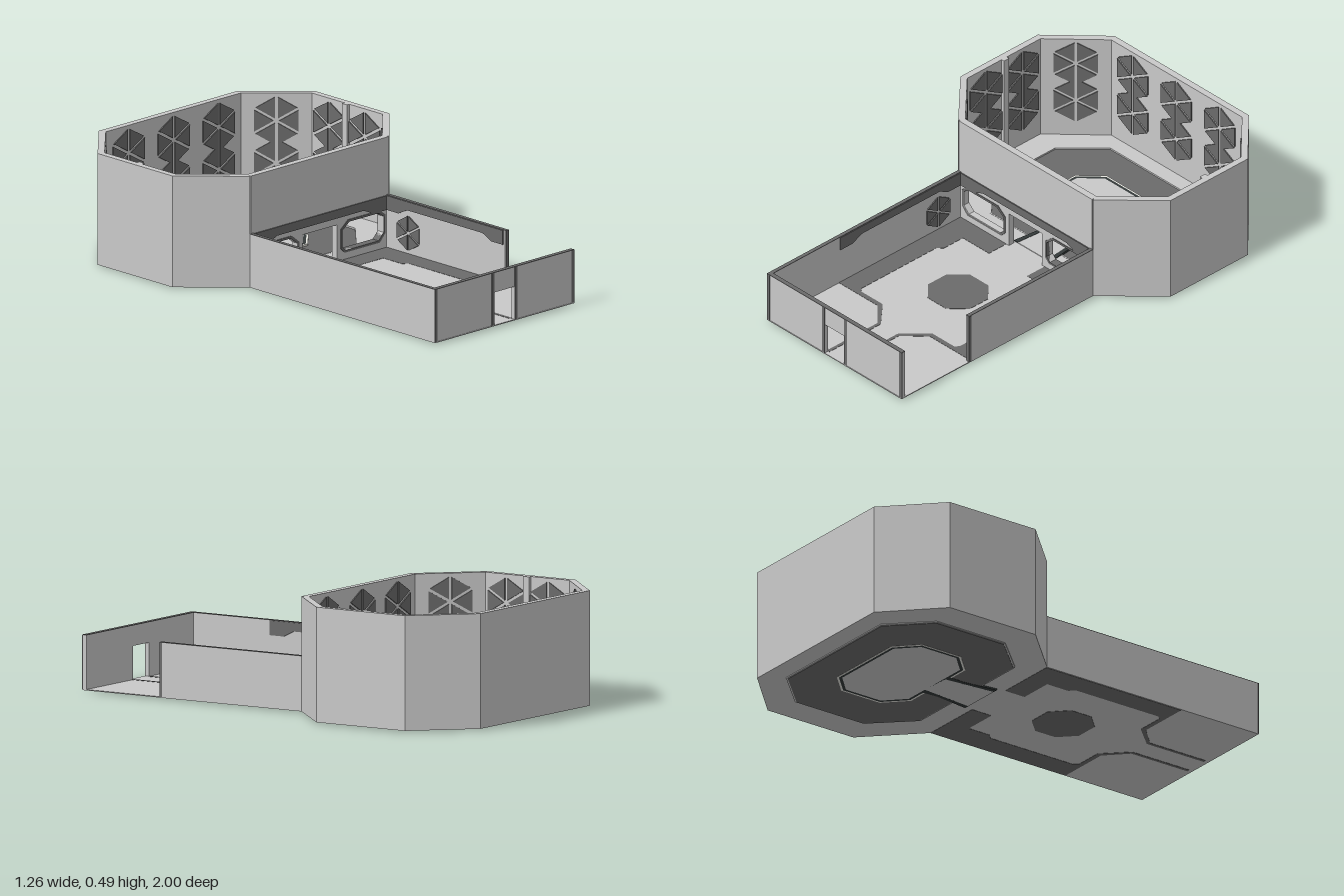
import * as THREE from 'three';

const mat = (name, color, side = THREE.FrontSide) => {
  const m = new THREE.MeshStandardMaterial({ color, side });
  m.name = name;
  return m;
};

export function createModel() {
  const root = new THREE.Group();
  const light = mat('lightGrey', 0xc9c9c9);
  const dark = mat('darkGrey', 0x6b6b6b);
  const black = mat('charcoal', 0x343a3a);
  const cream = mat('paleTrim', 0xe6e6e0);

  const add = (name, geo, m, parent = root) => {
    const mesh = new THREE.Mesh(geo, m);
    mesh.name = name;
    parent.add(mesh);
    return mesh;
  };
  const toShape = (pts) => new THREE.Shape(pts.map(([x, y]) => new THREE.Vector2(x, y)));
  const extrude = (shape, depth) => new THREE.ExtrudeGeometry(shape, { depth, bevelEnabled: false });

  // Horizontal slab from [x, z] points between two heights
  const slab = (name, pts, y0, y1, m, holes = []) => {
    const s = toShape(pts);
    holes.forEach((h) => s.holes.push(toShape(h)));
    return add(name, extrude(s, y1 - y0).rotateX(Math.PI / 2).translate(0, y1, 0), m);
  };
  const box = (name, x0, x1, y0, y1, z0, z1, m) =>
    add(name, new THREE.BoxGeometry(x1 - x0, y1 - y0, z1 - z0)
      .translate((x0 + x1) / 2, (y0 + y1) / 2, (z0 + z1) / 2), m);
  const rect = (x0, x1, z0, z1) => [[x0, z0], [x1, z0], [x1, z1], [x0, z1]];
  const mirror = (pts) => pts.map(([x, y]) => [-x, y]);
  // Stretched octagon: half width, corner x, z range, side z range
  const oct = (w, c, z0, z1, za, zb) =>
    [[c, z0], [w, za], [w, zb], [c, z1], [-c, z1], [-w, zb], [-w, za], [-c, z0]];
  // Upright wall outline with a doorway cut in the bottom edge
  const doorWall = (w, h, dw, dh) =>
    toShape([[-w, 0.01], [-dw, 0.01], [-dw, dh], [dw, dh], [dw, 0.01], [w, 0.01], [w, h], [-w, h]]);

  // ---- Arena hall ----
  const outer = oct(0.632, 0.405, -1, -0.1, -0.775, -0.33);
  const inner = oct(0.603, 0.393, -0.97, -0.13, -0.763, -0.342);
  const order = [4, 5, 6, 7, 0, 1, 2, 3];
  slab('arenaWall', [...order.map((i) => outer[i]), ...[...order].reverse().map((i) => inner[i])],
    0.01, 0.49, light);

  // Wall shared by hall and courtyard, with a doorway and two windows
  const shared = doorWall(0.4, 0.49, 0.1, 0.17);
  const windowPts = [[0.15, 0.05], [0.34, 0.05], [0.37, 0.08], [0.37, 0.15], [0.34, 0.17], [0.17, 0.17], [0.13, 0.14], [0.13, 0.07]];
  const framePts = windowPts.map(([x, y]) => [0.25 + (x - 0.25) * 1.08, 0.11 + (y - 0.11) * 1.16]);
  [(p) => p, mirror].forEach((f) => {
    shared.holes.push(toShape(f(windowPts)));
    const frame = toShape(f(framePts));
    frame.holes.push(toShape(f(windowPts)));
    add('windowFrame', extrude(frame, 0.036).translate(0, 0, -0.133), dark);
  });
  add('sharedWall', extrude(shared, 0.03).translate(0, 0, -0.13), light);

  // Six separated triangles forming a hexagonal wall panel
  const hexPanel = (r) => {
    const shapes = [];
    for (let i = 0; i < 6; i++) {
      const a = Math.PI / 2 + (i * Math.PI) / 3, mid = a + Math.PI / 6, g = r * 0.11;
      const ox = Math.cos(mid) * g, oy = Math.sin(mid) * g, k = r * 0.89;
      shapes.push(toShape([[ox, oy],
        [ox + Math.cos(a) * k, oy + Math.sin(a) * k],
        [ox + Math.cos(a + Math.PI / 3) * k, oy + Math.sin(a + Math.PI / 3) * k]]));
    }
    return extrude(shapes, 0.005);
  };
  const panel = hexPanel(0.105);
  inner.forEach((a, i) => {
    const b = inner[(i + 1) % 8];
    const dx = b[0] - a[0], dz = b[1] - a[1], len = Math.hypot(dx, dz);
    const side = new THREE.Group();
    side.name = 'wallPanels';
    side.position.set((a[0] + b[0]) / 2, 0, (a[1] + b[1]) / 2);
    side.rotation.y = Math.atan2(-dz, dx);
    const n = Math.max(1, Math.floor(len / 0.21));
    const step = len / n;
    for (let c = 0; c < n; c++) {
      (i === 3 ? [0.37] : [0.185, 0.37]).forEach((y) =>
        add('trianglePanel', panel, dark, side).position.set((c - (n - 1) / 2) * step, y, 0));
    }
    root.add(side);
  });
  [-1, 1].forEach((s) =>
    box('sidePilaster', s * 0.597 - 0.008, s * 0.597 + 0.008, 0.01, 0.49, -0.57, -0.54, light));

  // Hall floor, sunken basin and its rim
  const basin = oct(0.485, 0.325, -0.9, -0.215, -0.735, -0.385);
  const rim = oct(0.492, 0.328, -0.907, -0.208, -0.738, -0.382);
  slab('arenaFloor', outer, 0.006, 0.01, light, [basin]);
  slab('basinRim', rim, 0.002, 0.011, light, [basin]);
  slab('basin', basin, 0, 0.004, dark);

  // Central platform with pale and charcoal outlines
  const p1 = oct(0.282, 0.188, -0.748, -0.362, -0.655, -0.455);
  const p2 = oct(0.274, 0.184, -0.74, -0.37, -0.651, -0.459);
  const p3 = oct(0.262, 0.178, -0.728, -0.382, -0.645, -0.465);
  slab('platformTrim', p1, -0.001, 0.012, cream, [p2]);
  slab('platformLine', p2, -0.001, 0.012, black, [p3]);
  slab('platform', p3, -0.001, 0.012, light);

  // Walkway to the doorway with charcoal edges
  slab('walkway', [[-0.066, -0.385], [0.066, -0.385], [0.088, -0.14], [-0.088, -0.14]], -0.001, 0.013, light);
  const edge = [[0.066, -0.38], [0.095, -0.38], [0.09, -0.3], [0.11, -0.14], [0.088, -0.14], [0.074, -0.3]];
  [edge, mirror(edge)].forEach((e) => slab('walkwayEdge', e, -0.001, 0.014, black));

  // ---- Courtyard ----
  slab('courtFloor', rect(-0.405, 0.405, -0.1, 1), 0.006, 0.01, light);
  const border = [[0.4, -0.1], [0.4, 0.6], [0.157, 0.6], [0.065, 0.69], [0.065, 0.98], [0.05, 0.98], [0.05, 0.684],
    [0.15, 0.578], [0.28, 0.578], [0.295, 0.56], [0.295, 0.13], [0.272, 0.11], [0.272, 0], [0.115, 0], [0.115, -0.1]];
  [border, mirror(border)].forEach((b) => slab('floorBorder', b, 0.005, 0.011, dark));
  slab('floorMedallion', oct(0.125, 0.055, 0.165, 0.41, 0.235, 0.34), 0.005, 0.011, dark);

  // Courtyard walls; the left one stops short
  const H = 0.237;
  add('frontWall', extrude(doorWall(0.405, H, 0.058, 0.152), 0.018).translate(0, 0, 0.98), light);
  box('rightWall', -0.405, -0.39, 0.01, H, -0.1, 0.98, light);
  box('leftWall', 0.39, 0.405, 0.01, H, -0.1, 0.6, light);
  box('leftWallEnd', 0.389, 0.406, 0.01, H, 0.6, 0.612, dark);

  // Dark caps on the wall tops
  box('frontCap', -0.405, 0.405, H, 0.24, 0.98, 1, dark);
  box('rightCap', -0.405, -0.388, H, 0.24, -0.1, 0.98, dark);
  box('leftCap', 0.388, 0.405, H, 0.24, -0.1, 0.612, dark);

  // Dark strips on the front wall
  [-1, 1].forEach((s) => {
    box('cornerStrip', s * 0.398 - 0.008, s * 0.398 + 0.008, 0.01, H, 0.997, 1, dark);
    box('doorStrip', s * 0.067 - 0.008, s * 0.067 + 0.008, 0.01, H, 0.997, 1, dark);
  });

  // Scalloped bands and small panels inside the courtyard
  const band = (half) => extrude(toShape([[-half, 0.237], [-half, 0.175], [-half * 0.8, 0.175], [-half * 0.65, 0.2],
    [half * 0.65, 0.2], [half * 0.8, 0.175], [half, 0.175], [half, 0.237]]), 0.005);
  add('backBand', band(0.388), dark).position.set(0, 0, -0.1);
  const small = hexPanel(0.075);
  [-1, 1].forEach((s) => {
    const b = add('sideBand', band(0.345), dark);
    b.position.set(s * 0.39, 0, 0.25);
    b.rotation.y = -s * Math.PI / 2;
    const p = add('sidePanel', small, dark);
    p.position.set(s * 0.39, 0.1, 0.03);
    p.rotation.y = -s * Math.PI / 2;
  });
  return root;
}
